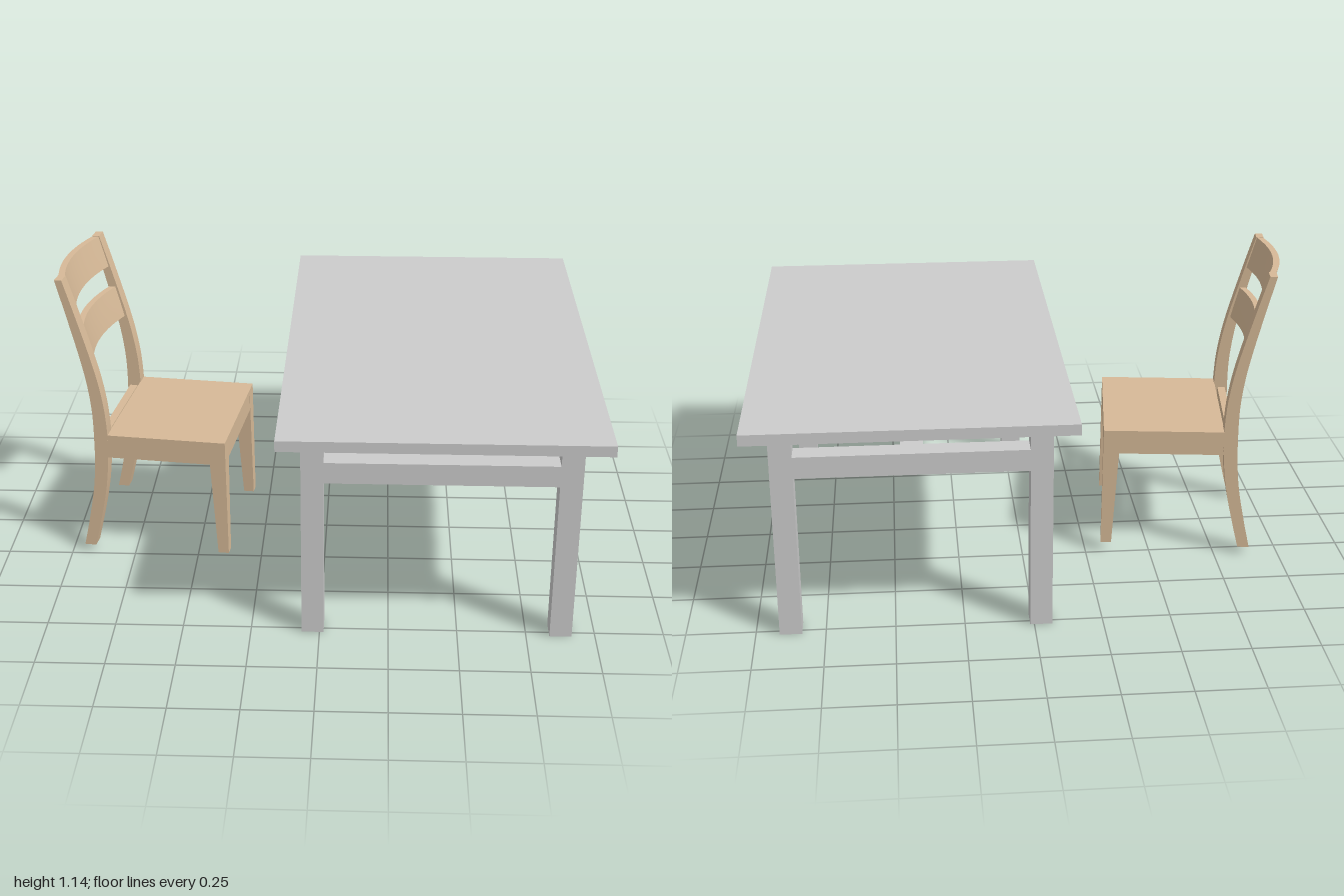
import * as THREE from 'three';
import { toCreasedNormals } from 'three/addons/utils/BufferGeometryUtils.js';

const grey = new THREE.MeshStandardMaterial({ color: 0xcccccc });
const wood = new THREE.MeshStandardMaterial({ color: 0xd6b997 });

function add(group, name, geometry, material, x = 0, y = 0, z = 0) {
  const mesh = new THREE.Mesh(geometry, material);
  mesh.name = name;
  mesh.position.set(x, y, z);
  group.add(mesh);
  return mesh;
}

// Box given by its limits on each axis
function block(group, name, material, [x0, x1], [y0, y1], [z0, z1]) {
  return add(group, name, new THREE.BoxGeometry(x1 - x0, y1 - y0, z1 - z0), material,
    (x0 + x1) / 2, (y0 + y1) / 2, (z0 + z1) / 2);
}

function createTable() {
  const table = new THREE.Group();
  table.name = 'table';
  block(table, 'tableTop', grey, [-0.145, 1], [0.8, 0.84], [-0.9, 0.9]);
  for (const s of [-1, 1]) {
    const z = s < 0 ? [-0.775, -0.695] : [0.695, 0.775];
    block(table, 'tableLeg', grey, [-0.065, 0.015], [0, 0.8], z);
    block(table, 'tableLeg', grey, [0.835, 0.915], [0, 0.8], z);
    block(table, 'endRail', grey, [0.015, 0.835], [0.615, 0.695], z);
  }
  block(table, 'centreStretcher', grey, [0.385, 0.465], [0.615, 0.695], [-0.695, 0.695]);
  block(table, 'smallBlock', grey, [0.417, 0.433], [0.402, 0.418], [-0.008, 0.008]);
  return table;
}

// Back post centre line as (forward offset, height)
const postLine = new THREE.CatmullRomCurve3([
  [-0.326, 0.03], [-0.298, 0.15], [-0.269, 0.3], [-0.256, 0.45], [-0.257, 0.6],
  [-0.268, 0.7], [-0.287, 0.8], [-0.338, 1.0], [-0.378, 1.145],
].map(([x, y]) => new THREE.Vector3(x, y, 0)));
const postPoints = postLine.getPoints(32);

// Forward offset of the post centre at a given height
function postX(y) {
  let i = 1;
  while (i < postPoints.length - 1 && postPoints[i].y < y) i++;
  const a = postPoints[i - 1], b = postPoints[i];
  return a.x + (b.x - a.x) * (y - a.y) / (b.y - a.y);
}

function postGeometry(width) {
  const half = (y) => (y < 0.5
    ? THREE.MathUtils.lerp(0.022, 0.027, y / 0.5)
    : THREE.MathUtils.lerp(0.027, 0.014, (y - 0.5) / 0.645));
  const front = postPoints.map((p) => new THREE.Vector2(p.x + half(p.y), p.y));
  const back = postPoints.map((p) => new THREE.Vector2(p.x - half(p.y), p.y)).reverse();
  const geometry = new THREE.ExtrudeGeometry(new THREE.Shape([...front, ...back]),
    { depth: width, bevelEnabled: false });
  return toCreasedNormals(geometry, 0.6);
}

// Back slat that bows backward and follows the slope of the posts
function slatGeometry(y0, y1, width, thickness, bow) {
  const geometry = new THREE.BoxGeometry(thickness, y1 - y0, width, 1, 4, 16);
  const p = geometry.attributes.position;
  for (let i = 0; i < p.count; i++) {
    const y = p.getY(i) + (y0 + y1) / 2;
    const t = p.getZ(i) / (width / 2);
    p.setXYZ(i, p.getX(i) + postX(y) - bow * (1 - t * t), y, p.getZ(i));
  }
  return toCreasedNormals(geometry, 0.6);
}

// Front leg: outer faces stay straight, inner faces taper to the foot
function frontLegGeometry(side, height) {
  const geometry = new THREE.BoxGeometry(0.065, height, 0.065);
  const p = geometry.attributes.position;
  for (let i = 0; i < p.count; i++) {
    if (p.getY(i) > 0) continue;
    if (p.getX(i) < 0) p.setX(i, 0.0325 - 0.038);
    else p.setX(i, 0.0355);
    if (p.getZ(i) * side < 0) p.setZ(i, side * (0.0325 - 0.042));
  }
  const flat = geometry.toNonIndexed();
  flat.computeVertexNormals();
  return flat;
}

function createChair() {
  const chair = new THREE.Group();
  chair.name = 'chair';
  const W = 0.274, postWidth = 0.054;

  // Posts, front legs and side rails
  for (const s of [-1, 1]) {
    add(chair, 'backPost', postGeometry(postWidth), wood, 0, 0, s > 0 ? W - postWidth : -W);
    add(chair, 'frontLeg', frontLegGeometry(s, 0.465), wood, 0.1975, 0.2725, s * (W - 0.0325));
    const z = s > 0 ? [W - 0.03, W - 0.001] : [-W + 0.001, -W + 0.03];
    block(chair, 'sideRail', wood, [-0.24, 0.17], [0.425, 0.502], z);
  }

  // Seat and its cross rails
  block(chair, 'seat', wood, [-0.23, 0.23], [0.5, 0.52], [-W, W]);
  block(chair, 'frontRail', wood, [0.2, 0.229], [0.43, 0.502], [-W + 0.06, W - 0.06]);
  block(chair, 'rearRail', wood, [-0.272, -0.242], [0.42, 0.505], [-W + 0.05, W - 0.05]);

  // Curved back slats
  const slatWidth = 2 * (W - postWidth) + 0.01;
  add(chair, 'topSlat', slatGeometry(1.02, 1.143, slatWidth, 0.024, 0.035), wood);
  add(chair, 'middleSlat', slatGeometry(0.81, 0.935, slatWidth, 0.024, 0.035), wood);

  chair.position.set(-0.5725, 0, 0);
  chair.rotation.y = -0.117;
  return chair;
}

export function createModel() {
  const model = new THREE.Group();
  model.name = 'tableAndChair';
  model.add(createTable(), createChair());
  return model;
}
